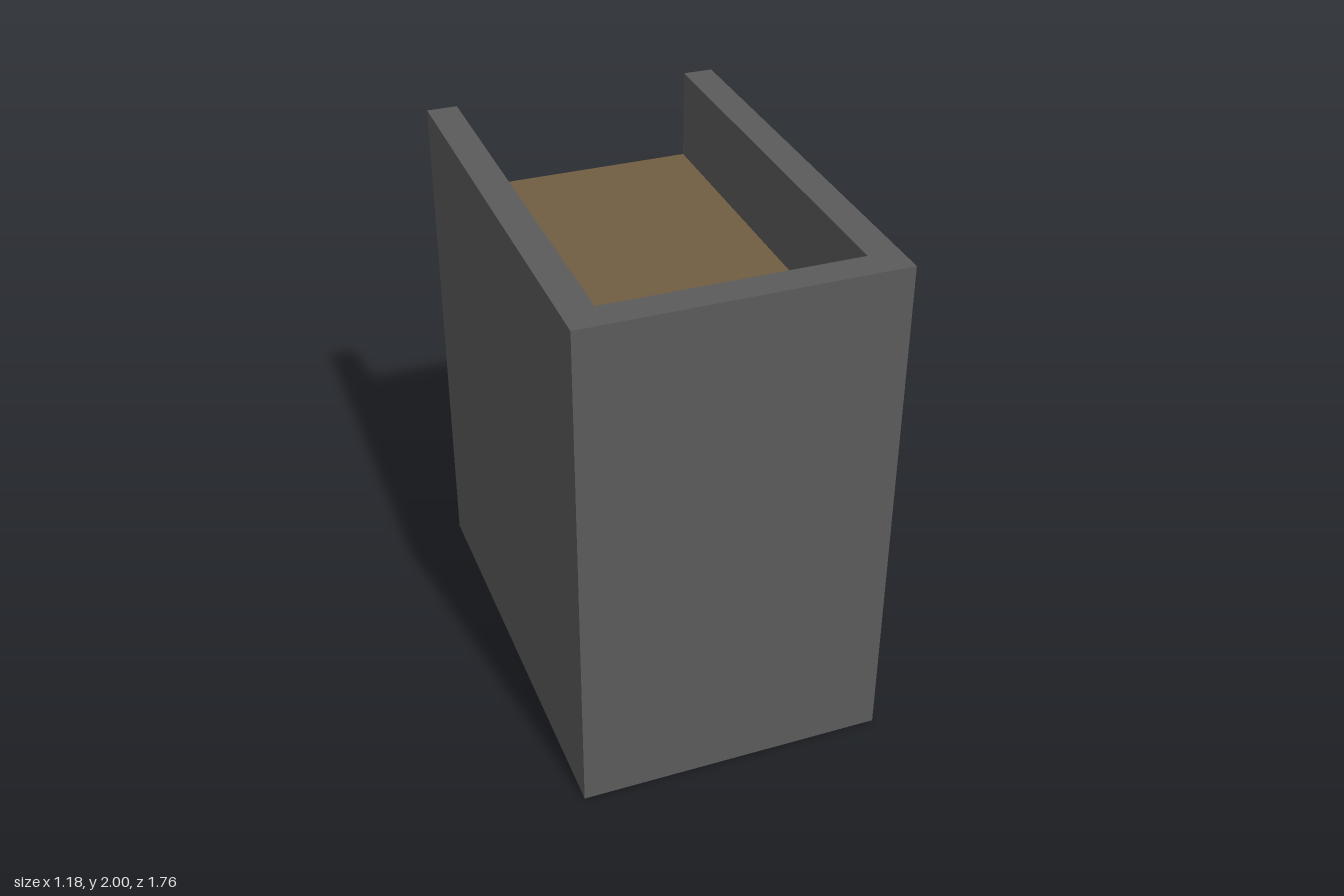
import * as THREE from 'three';

// The proportions follow a unit of 2/17: 10 wide, 17 high, 15 deep
const U = 2 / 17;
const X = 5 * U, Z = 7.5 * U, TOP = 2;
const IX = 4 * U, IZ = 6.5 * U, FLOOR = 14 * U;

export function createModel() {
  const group = new THREE.Group();
  const grey = new THREE.MeshStandardMaterial({ color: 0x5b5b5b, side: THREE.DoubleSide });
  grey.name = 'dark grey';
  const brown = new THREE.MeshStandardMaterial({ color: 0x705e41, side: THREE.DoubleSide });
  brown.name = 'earth brown';

  const add = (name, geometry, material, position, rx = 0, ry = 0) => {
    const mesh = new THREE.Mesh(geometry, material);
    mesh.name = name;
    mesh.position.set(...position);
    mesh.rotation.set(rx, ry, 0);
    group.add(mesh);
  };
  const plane = (w, h) => new THREE.PlaneGeometry(w, h);
  const outline = (points) =>
    new THREE.ShapeGeometry(new THREE.Shape(points.map(([x, y]) => new THREE.Vector2(x, y))));

  const wallHeight = TOP - FLOOR, wallY = (TOP + FLOOR) / 2;
  const innerDepth = Z + IZ, innerZ = (IZ - Z) / 2;

  // Thin outer shell, open underneath
  add('frontWall', plane(2 * X, TOP), grey, [0, TOP / 2, Z]);
  for (const [side, s] of [['left', 1], ['right', -1]]) {
    add(side + 'Wall', plane(2 * Z, TOP), grey, [s * X, TOP / 2, 0], 0, s * Math.PI / 2);
    add(side + 'InnerWall', plane(innerDepth, wallHeight), grey,
      [s * IX, wallY, innerZ], 0, -s * Math.PI / 2);
  }

  // Back wall with the notch where the channel runs out
  add('backWall', outline([
    [-X, 0], [X, 0], [X, TOP], [IX, TOP], [IX, FLOOR], [-IX, FLOOR], [-IX, TOP], [-X, TOP],
  ]), grey, [0, 0, -Z], 0, Math.PI);

  // Inner face of the front and the U-shaped rim
  add('frontInnerWall', plane(2 * IX, wallHeight), grey, [0, wallY, IZ], 0, Math.PI);
  add('rim', outline([
    [-X, -Z], [X, -Z], [X, Z], [IX, Z], [IX, -IZ], [-IX, -IZ], [-IX, Z], [-X, Z],
  ]), grey, [0, TOP, 0], -Math.PI / 2);

  // Recessed floor of the channel
  add('channelFloor', plane(2 * IX, innerDepth), brown, [0, FLOOR, innerZ], -Math.PI / 2);

  return group;
}
